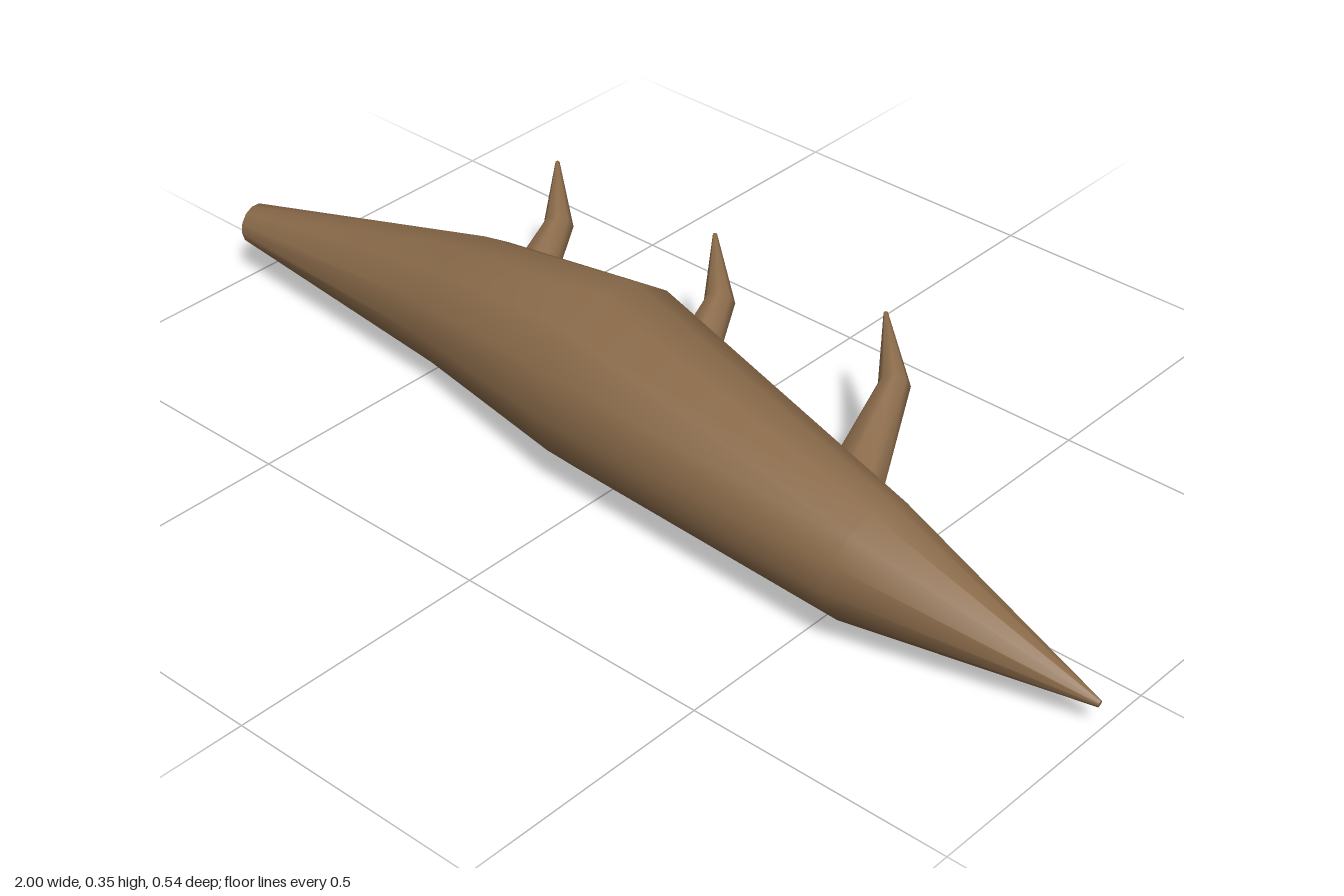
import * as THREE from 'three';

const bark = new THREE.MeshStandardMaterial({ color: 0x8b6b4a });
bark.name = 'barkBrown';

// Lofts round rings along a path; each station is [x, y, z, radius]
function loft(name, stations, sides, turn = 0) {
  const pts = stations.map(s => new THREE.Vector3(s[0], s[1], s[2]));
  const last = pts.length - 1;
  const dir = i => pts[i + 1].clone().sub(pts[i]).normalize();
  const pos = [], index = [];

  const rings = stations.map((s, i) => {
    const n = dir(Math.min(i, last - 1));
    if (i > 0 && i < last) n.add(dir(i - 1)).normalize();
    const up = new THREE.Vector3(0, 1, 0);
    up.addScaledVector(n, -up.dot(n)).normalize();
    const side = new THREE.Vector3().crossVectors(n, up);
    return Array.from({ length: sides }, (_, j) => {
      const a = turn + (j / sides) * Math.PI * 2;
      return pts[i].clone()
        .addScaledVector(up, Math.cos(a) * s[3])
        .addScaledVector(side, Math.sin(a) * s[3]);
    });
  });

  // Smooth side wall
  rings.forEach(r => r.forEach(v => pos.push(v.x, v.y, v.z)));
  for (let i = 0; i < last; i++) {
    for (let j = 0; j < sides; j++) {
      const a = i * sides + j, b = i * sides + (j + 1) % sides;
      index.push(a, b, a + sides, b, b + sides, a + sides);
    }
  }

  // Flat end caps with their own vertices
  for (const i of [0, last]) {
    const base = pos.length / 3;
    pos.push(pts[i].x, pts[i].y, pts[i].z);
    rings[i].forEach(v => pos.push(v.x, v.y, v.z));
    for (let j = 0; j < sides; j++) {
      const a = base + 1 + j, b = base + 1 + (j + 1) % sides;
      if (i === 0) index.push(base, b, a);
      else index.push(base, a, b);
    }
  }

  const geo = new THREE.BufferGeometry();
  geo.setAttribute('position', new THREE.Float32BufferAttribute(pos, 3));
  geo.setIndex(index);
  geo.computeVertexNormals();
  const mesh = new THREE.Mesh(geo, bark);
  mesh.name = name;
  return mesh;
}

export function createModel() {
  const group = new THREE.Group();
  group.name = 'fallenLog';

  // Trunk: cut end on the right, pointed tip on the left
  group.add(loft('trunk', [
    [-0.996, 0.11, 0.08, 0.04],
    [-0.45, 0.133, 0.035, 0.132],
    [-0.06, 0.178, 0.083, 0.174],
    [0.57, 0.141, 0.16, 0.111],
    [1, 0.058, 0.119, 0.006],
  ], 13, 0.157));

  // Three matching bent branches along the back
  for (let i = 0; i < 3; i++) {
    const branch = loft('branch' + (i + 1), [
      [0.43, 0.135, 0.04, 0.056],
      [0.37, 0.235, -0.152, 0.028],
      [0.256, 0.275, -0.269, 0.004],
    ], 8);
    branch.position.x = -0.392 * i;
    group.add(branch);
  }
  return group;
}
